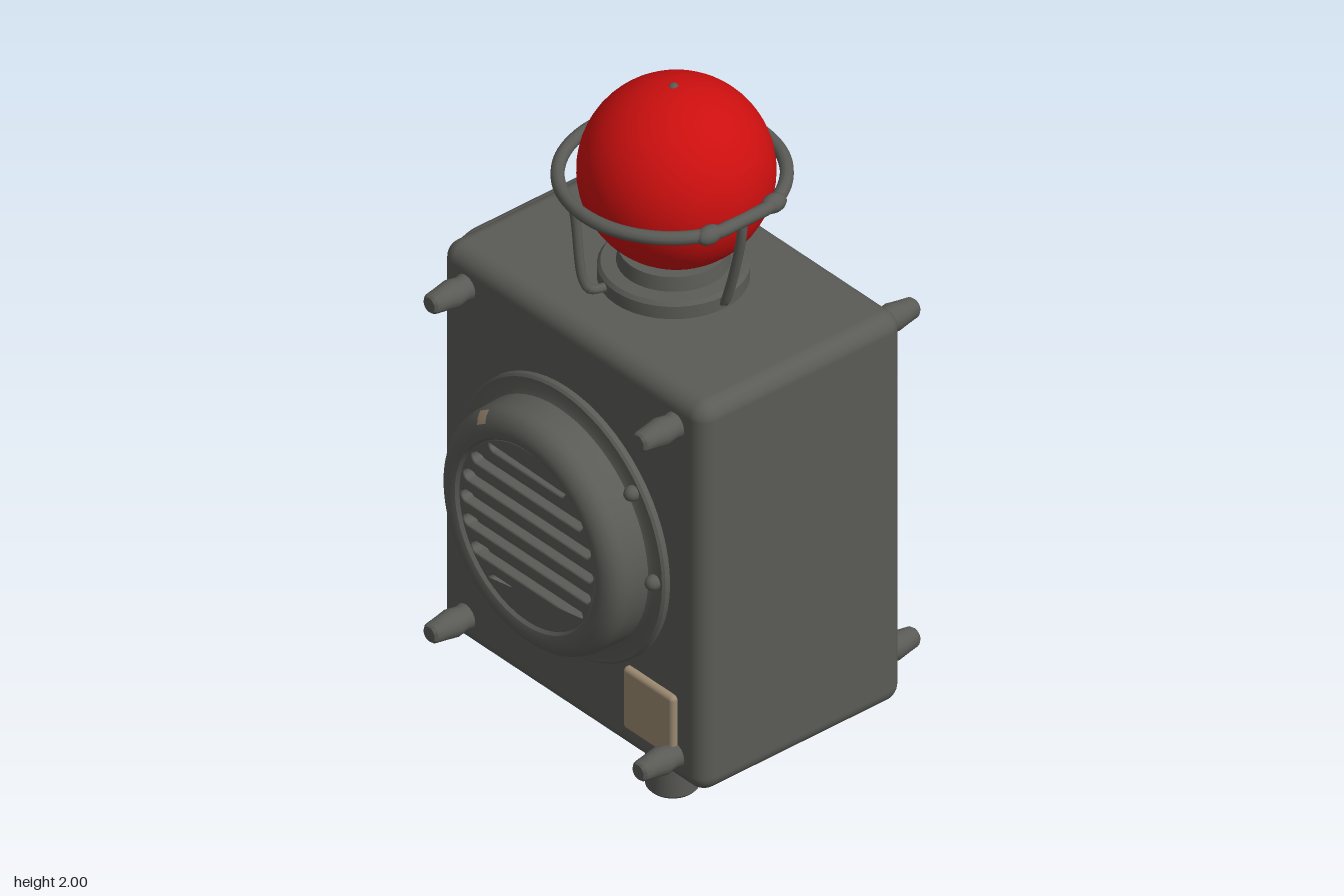
import * as THREE from 'three';
import { toCreasedNormals } from 'three/addons/utils/BufferGeometryUtils.js';
import { RoundedBoxGeometry } from 'three/addons/geometries/RoundedBoxGeometry.js';

const grey = new THREE.MeshStandardMaterial({ color: 0x5a5b56 });
grey.name = 'grey metal';
const red = new THREE.MeshStandardMaterial({ color: 0xcc0f0f });
red.name = 'red lamp';
const tan = new THREE.MeshStandardMaterial({ color: 0x9c8a72 });
tan.name = 'tan bare patch';

const V = (x, y, z) => new THREE.Vector3(x, y, z);

function add(parent, name, geometry, material, x = 0, y = 0, z = 0) {
  const mesh = new THREE.Mesh(geometry, material);
  mesh.name = name;
  mesh.position.set(x, y, z);
  parent.add(mesh);
  return mesh;
}

// Turned part around y; profile is listed from bottom to top
function turned(profile, segments = 32, start = 0, length = Math.PI * 2) {
  const points = profile.map(([r, h]) => new THREE.Vector2(r, h));
  return toCreasedNormals(new THREE.LatheGeometry(points, segments, start, length), 0.6);
}

// Disc with horizontal rounded slots
function grilleGeometry() {
  const shape = new THREE.Shape();
  shape.absarc(0, 0, 0.245, 0, Math.PI * 2);
  const h = 0.016;
  for (let i = -3; i <= 3; i++) {
    const y = i * 0.064;
    const w = Math.sqrt(0.235 ** 2 - y * y) - h;
    const slot = new THREE.Path();
    slot.absarc(w, y, h, -Math.PI / 2, Math.PI / 2);
    slot.absarc(-w, y, h, Math.PI / 2, Math.PI * 1.5);
    slot.closePath();
    shape.holes.push(slot);
  }
  return new THREE.ExtrudeGeometry(shape, {
    depth: 0.02, bevelEnabled: true, bevelThickness: 0.005, bevelSize: 0.004,
    bevelOffset: -0.004, bevelSegments: 2, curveSegments: 24,
  });
}

// Speaker facing local +z; s flips heights for the one turned to the back
function speaker(s) {
  const group = new THREE.Group();
  group.name = s > 0 ? 'frontSpeaker' : 'backSpeaker';
  const rim = [[0.317, 0.092], [0.312, 0.11], [0.3, 0.124], [0.285, 0.133], [0.268, 0.137]];
  const housing = turned([
    [0.368, -0.02], [0.368, 0.014], [0.362, 0.02], [0.335, 0.02], [0.32, 0.026],
    ...rim, [0.25, 0.132], [0.24, 0.12], [0.24, 0.085], [0, 0.085],
  ], 64).rotateX(Math.PI / 2);
  add(group, 'speakerHousing', housing, grey);
  add(group, 'speakerGrille', grilleGeometry(), grey, 0, 0, 0.1);

  // Screws round the flange
  for (const [x, y] of [[0.338, 0], [-0.338, 0], [0.262, 0.215], [-0.062, -0.322]]) {
    const screw = add(group, 'flangeScrew', new THREE.SphereGeometry(0.02, 12, 8), grey, x, y * s, 0.026);
    screw.scale.z = 1.1;
  }

  // Worn paint on the rounded rim
  const angle = s > 0 ? Math.PI + 0.56 : -0.56;
  const worn = turned(rim.slice(1, 4).map(([r, z]) => [r + 0.002, z + 0.002]), 5, angle - 0.06, 0.12);
  add(group, 'wornPatch', worn.rotateX(Math.PI / 2), tan);
  return group;
}

function lamp() {
  const group = new THREE.Group();
  group.name = 'lamp';
  add(group, 'lampBase', turned([
    [0.18, -0.01], [0.18, 0.035], [0.172, 0.045], [0.135, 0.047], [0.13, 0.085], [0, 0.085],
  ], 40), grey, 0.015, 1.455, 0);
  add(group, 'lampGlobe', new THREE.SphereGeometry(0.235, 48, 32), red, 0.025, 1.762, 0);
  add(group, 'globeTip', new THREE.SphereGeometry(0.014, 12, 8), grey, 0.015, 1.989, 0);

  // Guard ring, slightly flattened on the +x side
  const ringPoints = [];
  for (let i = 0; i < 48; i++) {
    const a = (i / 48) * Math.PI * 2;
    ringPoints.push(V(Math.min(0.01 + 0.267 * Math.cos(a), 0.265), 0, 0.27 * Math.sin(a)));
  }
  const ring = new THREE.CatmullRomCurve3(ringPoints, true);
  add(group, 'guardRing', new THREE.TubeGeometry(ring, 96, 0.017, 10, true), grey, 0, 1.745, 0);
  for (const z of [-0.1, 0.1]) {
    const clamp = add(group, 'ringClamp', new THREE.SphereGeometry(0.024, 12, 8), grey, 0.258, 1.744, z);
    clamp.scale.z = 1.5;
  }

  // Guard legs from the ring down to the base
  const legs = [
    [V(-0.245, 1.745, 0), V(-0.232, 1.7, 0), V(-0.232, 1.52, 0), V(-0.22, 1.49, 0), V(-0.16, 1.475, 0)],
    [V(0.262, 1.745, 0), V(0.258, 1.69, 0), V(0.215, 1.52, 0), V(0.195, 1.475, 0), V(0.16, 1.47, 0)],
  ];
  for (const z of [-1, 1]) {
    legs.push([V(-0.075, 1.745, 0.25 * z), V(-0.07, 1.7, 0.235 * z), V(-0.045, 1.52, 0.23 * z),
      V(-0.037, 1.487, 0.215 * z), V(-0.03, 1.472, 0.15 * z)]);
  }
  for (const points of legs) {
    const path = new THREE.CatmullRomCurve3(points);
    add(group, 'guardLeg', new THREE.TubeGeometry(path, 24, 0.012, 8), grey);
  }
  return group;
}

// Raised cover with broad sloping edges on the -x side
function sidePanel() {
  const w = 0.225, h = 0.47, r = 0.03;
  const shape = new THREE.Shape();
  shape.absarc(w - r, h - r, r, 0, Math.PI / 2);
  shape.absarc(r - w, h - r, r, Math.PI / 2, Math.PI);
  shape.absarc(r - w, r - h, r, Math.PI, Math.PI * 1.5);
  shape.absarc(w - r, r - h, r, Math.PI * 1.5, Math.PI * 2);
  const panel = new THREE.ExtrudeGeometry(shape, {
    depth: 0.02, bevelThickness: 0.035, bevelSize: 0.06, bevelSegments: 4, curveSegments: 6,
  });
  return toCreasedNormals(panel.rotateY(-Math.PI / 2), 0.7);
}

export function createModel() {
  const model = new THREE.Group();
  model.name = 'speakerBeacon';

  // Case and mounting stem
  add(model, 'caseBody', new RoundedBoxGeometry(0.94, 1.105, 0.63, 5, 0.045), grey, 0.015, 0.9025, 0.004);
  add(model, 'sidePanel', sidePanel(), grey, -0.431, 0.905, 0.004);
  add(model, 'mountingStem', turned([
    [0, 0], [0.058, 0], [0.065, 0.008], [0.065, 0.215], [0.08, 0.222], [0.091, 0.235], [0.091, 0.37],
  ]), grey, 0.012, 0, 0);

  // Speakers on both faces
  const front = speaker(1);
  front.position.set(0.003, 0.907, 0.319);
  const back = speaker(-1);
  back.position.set(0.003, 0.907, -0.311);
  back.rotation.x = Math.PI;
  model.add(front, back);
  add(model, 'rimKnob', new THREE.SphereGeometry(0.024, 12, 8), grey, 0.005, 0.66, -0.45);

  // Corner studs on both faces
  const stud = turned([
    [0.036, -0.01], [0.031, 0.015], [0.036, 0.045], [0.03, 0.08], [0.026, 0.108], [0.02, 0.115], [0, 0.117],
  ], 16);
  for (const side of [1, -1]) {
    for (const x of [-0.36, 0.388]) {
      for (const y of [0.43, 1.37]) {
        add(model, 'cornerStud', stud, grey, x, y, 0.004 + side * 0.314).rotation.x = side * Math.PI / 2;
      }
    }
  }

  // Small plate on the front, lower left of the model
  add(model, 'frontPlate', new RoundedBoxGeometry(0.18, 0.175, 0.03, 3, 0.012), tan, 0.308, 0.512, 0.321);

  model.add(lamp());
  return model;
}
